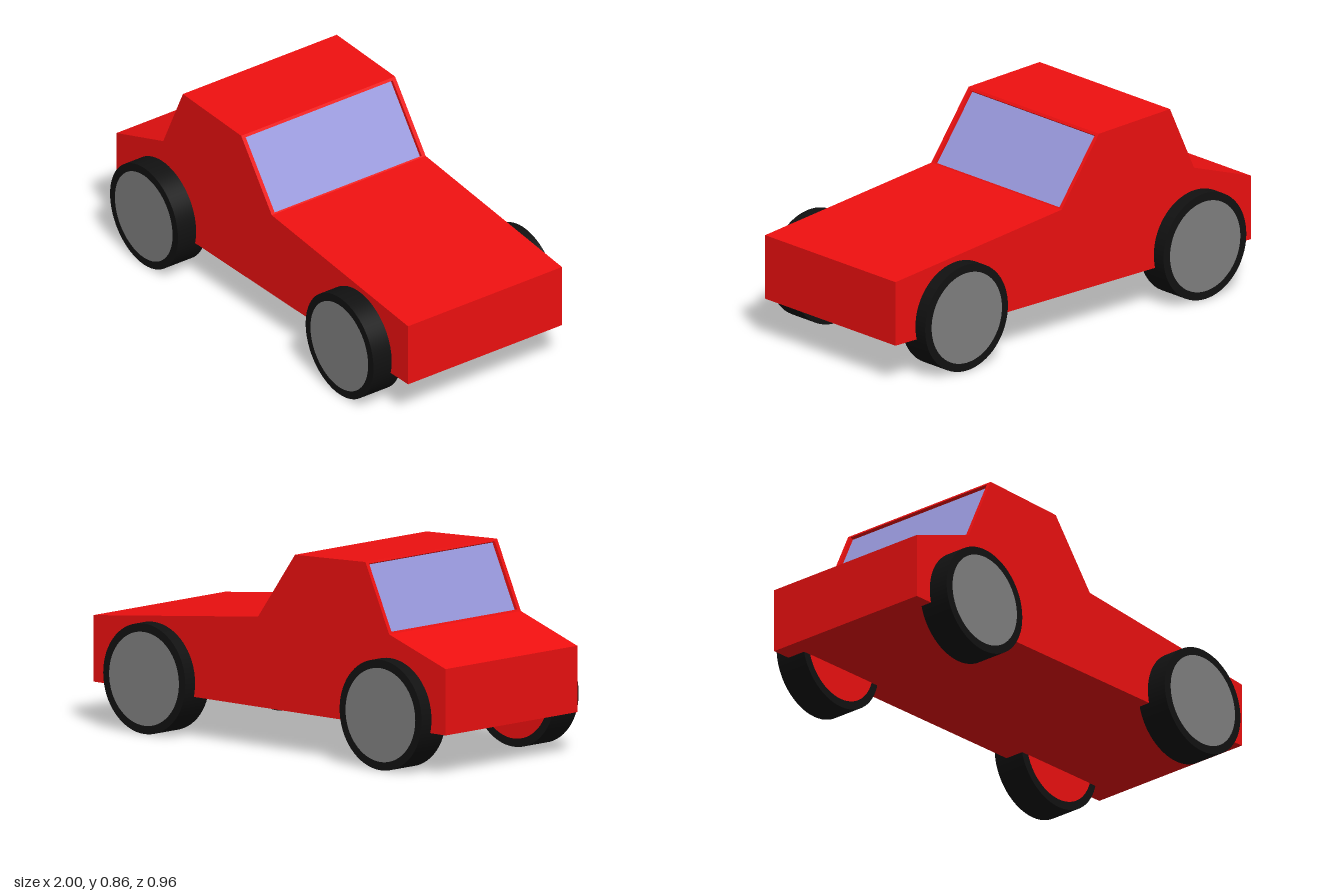
import * as THREE from 'three';

const paint = new THREE.MeshStandardMaterial({ color: 0xee1010 });
const rubber = new THREE.MeshStandardMaterial({ color: 0x111111 });
const metal = new THREE.MeshStandardMaterial({ color: 0x808080 });
const glass = new THREE.MeshStandardMaterial({ color: 0x9999dd });

// Body sides, and the z range of the window openings between them
const Z_BACK = -0.42, Z_FRONT = 0.385;
const OPEN_BACK = -0.402, OPEN_FRONT = 0.367;

// Corners of the side profile
const hoodEnd = [0.065, 0.555], roofFront = [-0.145, 0.84];
const roofRear = [-0.545, 0.855], deckEnd = [-0.68, 0.565];

function addMesh(parent, name, geometry, material) {
  const mesh = new THREE.Mesh(geometry, material);
  mesh.name = name;
  parent.add(mesh);
  return mesh;
}

// Extrudes the car profile; extra points replace the straight window slopes
function bodySlice(z0, z1, windshieldCut = [], rearCut = []) {
  const points = [
    [-1, 0.175], [1, 0.175], [1, 0.455], hoodEnd, ...windshieldCut,
    roofFront, roofRear, ...rearCut, deckEnd, [-1, 0.455],
  ].map(([x, y]) => new THREE.Vector2(x, y));
  const geometry = new THREE.ExtrudeGeometry(new THREE.Shape(points), { depth: z1 - z0, bevelEnabled: false });
  return geometry.translate(0, 0, z0);
}

// Point on the slope a-b at fraction t, sunk by depth along the inward normal
function slopePoint(a, b, t, depth) {
  const dx = b[0] - a[0], dy = b[1] - a[1], len = Math.hypot(dx, dy);
  return [a[0] + dx * t - (dy / len) * depth, a[1] + dy * t + (dx / len) * depth];
}

function recess(a, b, t0, t1, depth) {
  return [slopePoint(a, b, t0, 0), slopePoint(a, b, t0, depth), slopePoint(a, b, t1, depth), slopePoint(a, b, t1, 0)];
}

// Thin pane lying on the floor of a window recess
function addPane(parent, name, a, b, t0, t1) {
  const p = slopePoint(a, b, t0, 0.0165), q = slopePoint(a, b, t1, 0.0165);
  const length = Math.hypot(q[0] - p[0], q[1] - p[1]);
  const pane = addMesh(parent, name, new THREE.BoxGeometry(length, 0.003, OPEN_FRONT - OPEN_BACK), glass);
  pane.position.set((p[0] + q[0]) / 2, (p[1] + q[1]) / 2, (OPEN_FRONT + OPEN_BACK) / 2);
  pane.rotation.z = Math.atan2(q[1] - p[1], q[0] - p[0]);
}

// Tyre with a grey hub outside and a painted disc inside; outer face towards +z
function createWheel(name) {
  const wheel = new THREE.Group();
  wheel.name = name;
  addMesh(wheel, 'tyre', new THREE.CylinderGeometry(0.233, 0.233, 0.148, 64).rotateX(Math.PI / 2), rubber);
  const disc = new THREE.CircleGeometry(0.198, 64);
  addMesh(wheel, 'hub', disc, metal).position.z = 0.0755;
  const inner = addMesh(wheel, 'innerDisc', disc, paint);
  inner.position.z = -0.0755;
  inner.rotation.y = Math.PI;
  return wheel;
}

export function createModel() {
  const car = new THREE.Group();
  car.name = 'car';

  // Body: a core with window recesses between two full side panels
  const body = new THREE.Group();
  body.name = 'body';
  car.add(body);
  const front = [hoodEnd, roofFront, 0.018, 0.965];
  const rear = [roofRear, deckEnd, 0.03, 0.97];
  addMesh(body, 'bodyCore', bodySlice(OPEN_BACK, OPEN_FRONT, recess(...front, 0.017), recess(...rear, 0.017)), paint);
  addMesh(body, 'backSidePanel', bodySlice(Z_BACK, OPEN_BACK), paint);
  addMesh(body, 'frontSidePanel', bodySlice(OPEN_FRONT, Z_FRONT), paint);

  // Windows
  addPane(car, 'windshield', ...front);
  addPane(car, 'rearWindow', ...rear);

  // Wheels
  for (const [end, x] of [['hood', 0.655], ['tail', -0.687]]) {
    for (const side of [1, -1]) {
      const wheel = createWheel(end + 'Wheel' + (side > 0 ? 'Front' : 'Back'));
      wheel.position.set(x, 0.233, side * 0.406);
      if (side < 0) wheel.rotation.y = Math.PI;
      car.add(wheel);
    }
  }
  return car;
}
